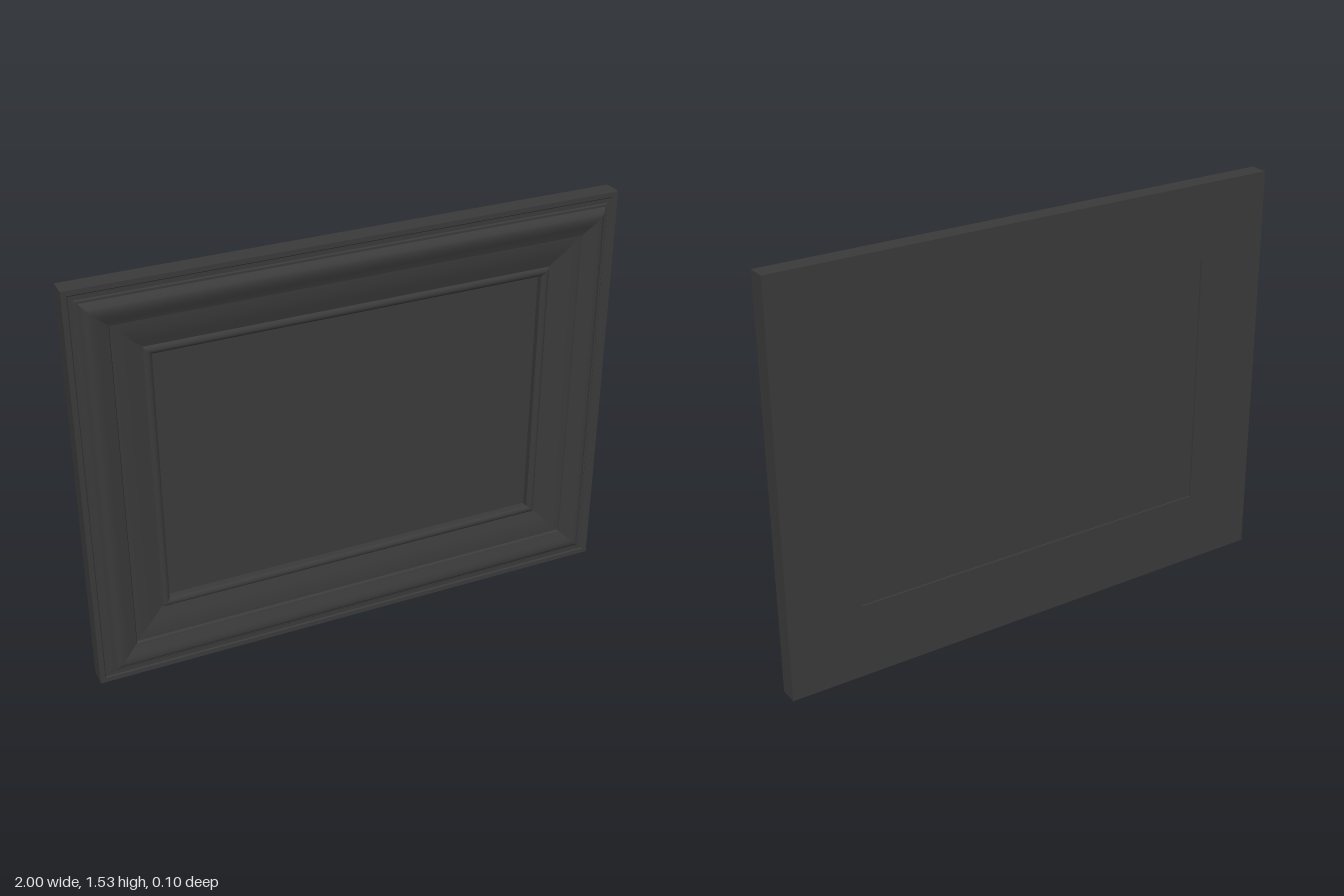
import * as THREE from 'three';
import { toCreasedNormals } from 'three/addons/utils/BufferGeometryUtils.js';

const W = 1, H = 0.765;          // half width and half height
const BACK = -0.048, OPENING = 0.28;

// Moulding section as [inset from the outer edge, z]
const section = [
  [0, BACK], [0, 0.022],
  [0.018, 0.022], [0.022, 0.018], [0.038, 0.018], [0.042, 0.022], [0.05, 0.022],   // outer fillets
  [0.058, 0.036], [0.066, 0.045], [0.075, 0.048], [0.09, 0.047],                   // raised bead
  [0.107, 0.042], [0.123, 0.035], [0.14, 0.03],
  [0.144, 0.022], [0.165, 0.021], [0.19, 0.018], [0.215, 0.012], [0.235, 0.006], [0.25, 0.002], // sloping cove
  [0.253, 0.008], [0.26, 0.012], [0.268, 0.012], [0.276, 0.009], [OPENING, 0.004], // inner bead
  [OPENING, BACK],
];
const signs = [[-1, -1], [1, -1], [1, 1], [-1, 1]];

// One mitred rail swept between two neighbouring corners
function railGeometry(k) {
  const at = (corner, [inset, z]) => {
    const [sx, sy] = signs[corner % 4];
    return [sx * (W - inset), sy * (H - inset), z];
  };
  const pos = [];
  section.forEach((p, j) => {
    const q = section[(j + 1) % section.length];
    const a = at(k, p), b = at(k + 1, p), c = at(k + 1, q), d = at(k, q);
    pos.push(...a, ...b, ...c, ...a, ...c, ...d);
  });
  const g = new THREE.BufferGeometry();
  g.setAttribute('position', new THREE.Float32BufferAttribute(pos, 3));
  return toCreasedNormals(g, 0.6);
}

export function createModel() {
  const group = new THREE.Group();
  group.name = 'pictureFrame';
  const frameMaterial = new THREE.MeshStandardMaterial({ color: 0x3a3a3a });
  const panelMaterial = new THREE.MeshStandardMaterial({ color: 0x3a3a3a });

  // Four moulded rails
  ['bottomRail', 'leftRail', 'topRail', 'rightRail'].forEach((name, k) => {
    const rail = new THREE.Mesh(railGeometry(k), frameMaterial);
    rail.name = name;
    rail.position.y = H;
    group.add(rail);
  });

  // Picture panel, set back from both faces
  const panel = new THREE.Mesh(
    new THREE.BoxGeometry(2 * (W - OPENING), 2 * (H - OPENING), 0.02), panelMaterial);
  panel.name = 'picturePanel';
  panel.position.set(0, H, -0.03);
  group.add(panel);
  return group;
}
